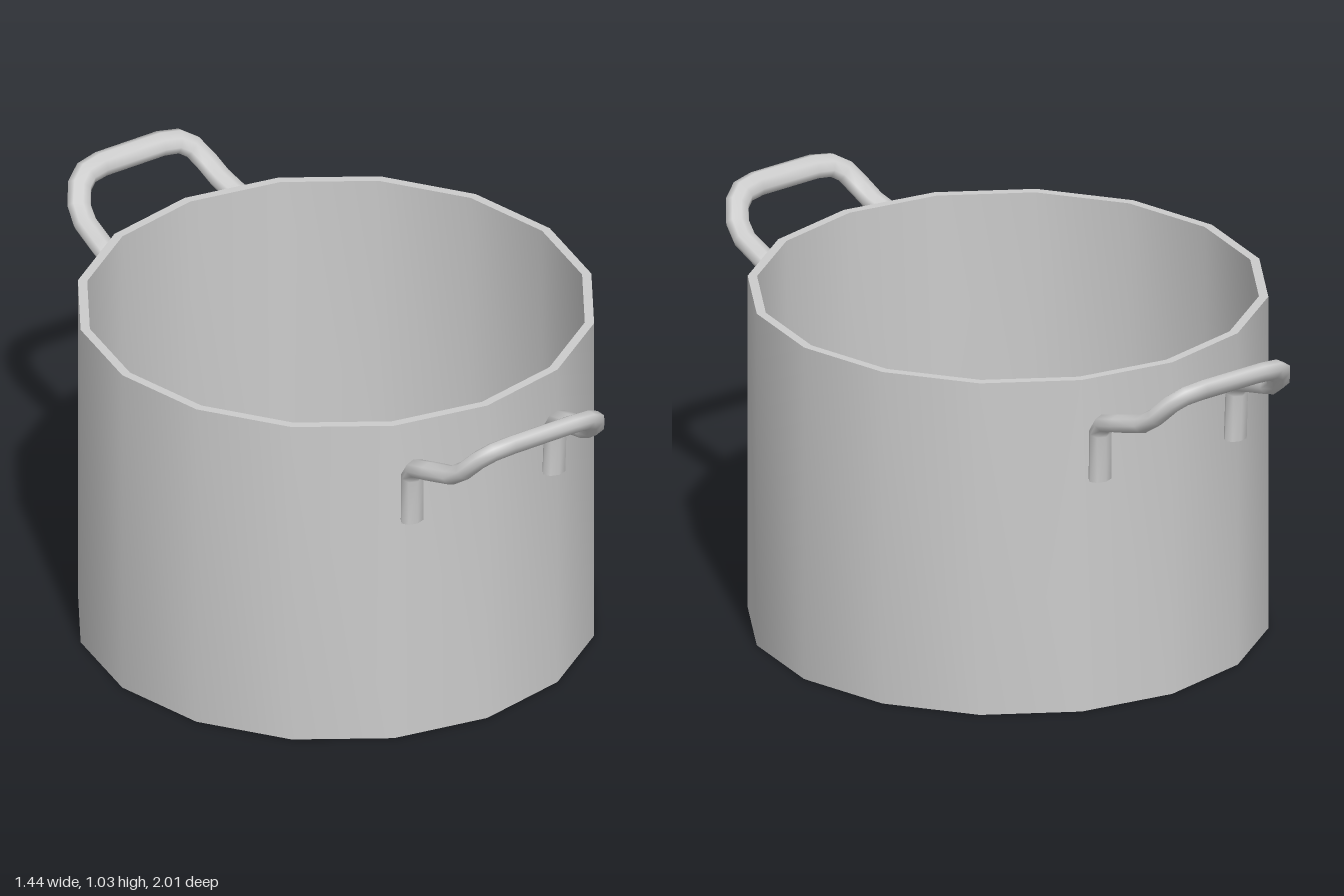
import * as THREE from 'three';
import { toCreasedNormals } from 'three/addons/utils/BufferGeometryUtils.js';

const material = new THREE.MeshStandardMaterial({ color: 0xcccccc });
const SIDES = 8;

// Half of a handle, foot to grip: x, y, z and the slope of the strap in degrees
const halfPath = [
  [0.238, 0.69, 0.698, 90],
  [0.24, 0.83, 0.702, 82],
  [0.24, 0.862, 0.722, 45],
  [0.235, 0.878, 0.78, 15],
  [0.226, 0.903, 0.87, 25],
  [0.215, 0.935, 0.915, 42],
  [0.19, 0.975, 0.948, 48],
  [0.155, 0.996, 0.966, 48],
  [0.10, 1.003, 0.973, 48],
];

// Sweeps a slightly flattened round bar along the mirrored path
function handleGeometry() {
  const mirrored = halfPath.map(([x, y, z, a]) => [-x, y, z, a]).reverse();
  const path = [...halfPath, ...mirrored];
  const points = path.map(([x, y, z]) => new THREE.Vector3(x, y, z));
  const last = points.length - 1;
  const positions = [], index = [], rings = [];

  points.forEach((p, i) => {
    const t = new THREE.Vector3();
    if (i > 0) t.add(p.clone().sub(points[i - 1]).normalize());
    if (i < last) t.add(points[i + 1].clone().sub(p).normalize());
    t.normalize();
    const a = THREE.MathUtils.degToRad(path[i][3]);
    const n = new THREE.Vector3(0, -Math.cos(a), Math.sin(a));
    n.addScaledVector(t, -n.dot(t)).normalize();
    const s = t.clone().cross(n);
    const ring = [];
    for (let j = 0; j < SIDES; j++) {
      const th = (j / SIDES) * Math.PI * 2;
      ring.push(p.clone().addScaledVector(n, 0.026 * Math.cos(th)).addScaledVector(s, 0.036 * Math.sin(th)));
    }
    rings.push(ring);
    ring.forEach(v => positions.push(v.x, v.y, v.z));
  });

  for (let i = 0; i < last; i++) {
    for (let j = 0; j < SIDES; j++) {
      const k = (j + 1) % SIDES;
      const a = i * SIDES + j, b = i * SIDES + k;
      index.push(a, b, b + SIDES, a, b + SIDES, a + SIDES);
    }
  }

  // Flat caps under the two feet
  for (const end of [0, last]) {
    const base = positions.length / 3;
    rings[end].forEach(v => positions.push(v.x, v.y, v.z));
    for (let j = 1; j < SIDES - 1; j++) {
      if (end === 0) index.push(base, base + j + 1, base + j);
      else index.push(base, base + j, base + j + 1);
    }
  }

  const geometry = new THREE.BufferGeometry();
  geometry.setAttribute('position', new THREE.Float32BufferAttribute(positions, 3));
  geometry.setIndex(index);
  geometry.computeVertexNormals();
  return geometry;
}

export function createModel() {
  const model = new THREE.Group();
  model.name = 'cookingPot';

  // Hollow sixteen-sided body with a flat rim
  const profile = [[0, 0], [0.718, 0], [0.718, 0.98], [0.692, 0.98], [0.692, 0.03], [0, 0.03]]
    .map(([r, y]) => new THREE.Vector2(r, y));
  const body = new THREE.Mesh(toCreasedNormals(new THREE.LatheGeometry(profile, 16), 0.6), material);
  body.name = 'potBody';
  model.add(body);

  // Handles at the front and the back
  const geometry = handleGeometry();
  ['frontHandle', 'backHandle'].forEach((name, i) => {
    const handle = new THREE.Mesh(geometry, material);
    handle.name = name;
    handle.rotation.y = i * Math.PI;
    model.add(handle);
  });

  return model;
}
